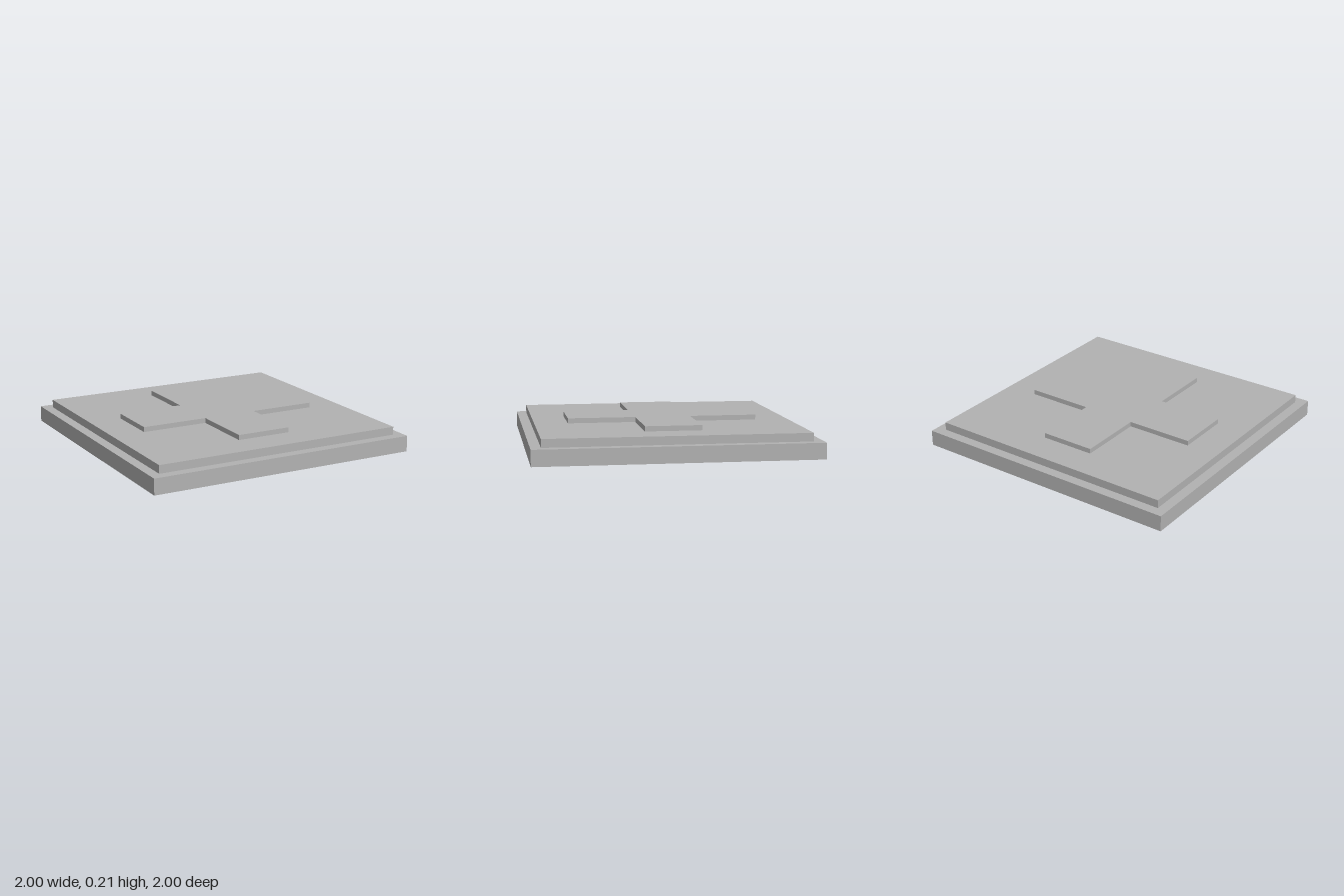
import * as THREE from 'three';

export function createModel() {
  const model = new THREE.Group();
  model.name = 'crossPlate';
  const grey = new THREE.MeshStandardMaterial({ color: 0xb2b2b2 });
  grey.name = 'grey';

  // Square slab resting at height y
  const addSlab = (name, width, y, height) => {
    const slab = new THREE.Mesh(new THREE.BoxGeometry(width, height, width), grey);
    slab.name = name;
    slab.position.y = y + height / 2;
    model.add(slab);
  };
  addSlab('basePlate', 2, 0, 0.115);
  addSlab('upperPlate', 1.856, 0.115, 0.059);

  // Raised cross: one arm outline turned four times
  const reach = 0.688, half = 0.2;
  const points = [];
  for (let i = 0; i < 4; i++) {
    for (const [x, y] of [[half, -half], [reach, -half], [reach, half]]) {
      points.push(new THREE.Vector2(x, y).rotateAround(new THREE.Vector2(), i * Math.PI / 2));
    }
  }
  const crossGeometry = new THREE.ExtrudeGeometry(new THREE.Shape(points), { depth: 0.036, bevelEnabled: false });
  crossGeometry.rotateX(-Math.PI / 2);
  const cross = new THREE.Mesh(crossGeometry, grey);
  cross.name = 'raisedCross';
  cross.position.y = 0.174;
  model.add(cross);

  return model;
}
